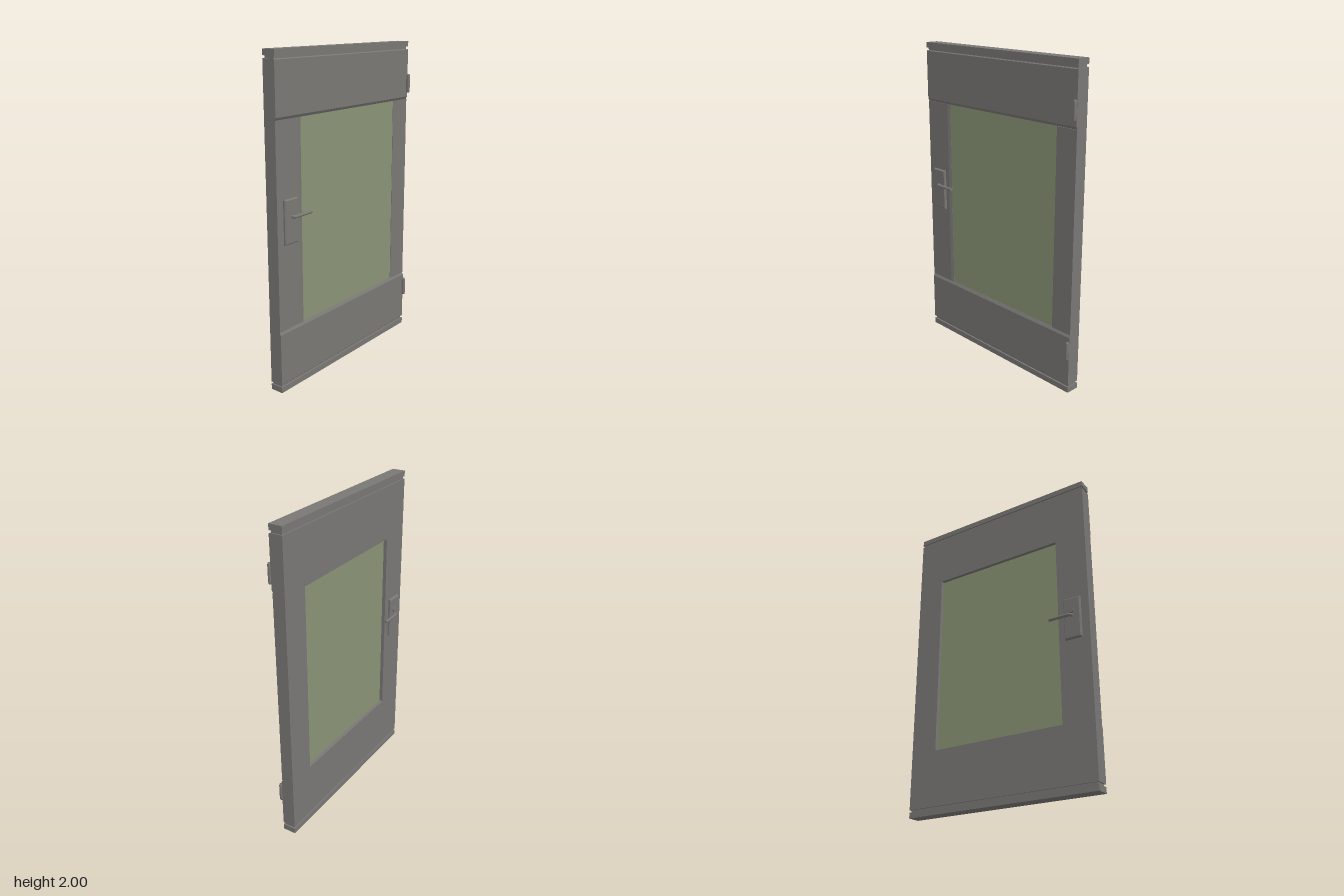
import * as THREE from 'three';

export function createModel() {
  const model = new THREE.Group();
  model.name = 'door';
  const frameGrey = new THREE.MeshStandardMaterial({ color: 0x7a7875 });
  frameGrey.name = 'frame grey';
  const glassGreen = new THREE.MeshStandardMaterial({ color: 0x8a9476 });
  glassGreen.name = 'glass green';

  const X0 = -0.645, X1 = 0.64, BACK = -0.039, FRONT = 0.046;

  function add(name, geometry, material = frameGrey, parent = model) {
    const mesh = new THREE.Mesh(geometry, material);
    mesh.name = name;
    parent.add(mesh);
    return mesh;
  }
  function box(name, x0, x1, y0, y1, z0, z1, material) {
    const g = new THREE.BoxGeometry(x1 - x0, y1 - y0, z1 - z0);
    g.translate((x0 + x1) / 2, (y0 + y1) / 2, (z0 + z1) / 2);
    return add(name, g, material);
  }
  const polygon = (points) => new THREE.Shape(points.map(([a, b]) => new THREE.Vector2(a, b)));

  // Horizontal bar with a (z, y) cross-section
  function rail(name, points) {
    const g = new THREE.ExtrudeGeometry(polygon(points), { depth: X1 - X0, bevelEnabled: false });
    g.rotateY(-Math.PI / 2).translate(X1, 0, 0);
    return add(name, g);
  }
  // Upright bar with an (x, z) cross-section
  function stile(name, points, y0, y1) {
    const g = new THREE.ExtrudeGeometry(polygon(points), { depth: y1 - y0, bevelEnabled: false });
    g.rotateX(Math.PI / 2).translate(0, y1, 0);
    return add(name, g);
  }

  // Back half of the leaf with the window opening
  const leaf = polygon([[X0, 0.05], [X1, 0.05], [X1, 1.95], [X0, 1.95]]);
  leaf.holes.push(polygon([[-0.44, 0.4], [-0.44, 1.61], [0.458, 1.61], [0.458, 0.4]]));
  add('backFrame', new THREE.ExtrudeGeometry(leaf, { depth: -BACK, bevelEnabled: false }).translate(0, 0, BACK));

  // Front rails with bevelled edges beside the window
  rail('topRail', [[0, 1.622], [0.036, 1.622], [FRONT, 1.638], [FRONT, 1.945], [0.041, 1.95], [0, 1.95]]);
  rail('bottomRail', [[0, 0.05], [0.041, 0.05], [FRONT, 0.055], [FRONT, 0.37], [0.036, 0.388], [0, 0.388]]);

  // Front stiles
  stile('handleStile', [[X0, 0], [-0.432, 0], [-0.432, 0.035], [-0.455, 0.041], [X0, 0.041]], 0.388, 1.622);
  stile('hingeStile', [[0.49, 0], [X1, 0], [X1, 0.041], [0.497, 0.041], [0.49, 0.036]], 0.388, 1.622);

  // Window pane, its edges set into the frame
  box('glass', -0.46, 0.5, 0.385, 1.625, -0.016, 0.034, glassGreen);

  // End caps separated from the leaf by a recessed groove
  box('topCap', X0, X1, 1.965, 2, BACK, FRONT);
  box('topGroove', X0 + 0.008, X1 - 0.008, 1.945, 1.97, BACK + 0.008, FRONT - 0.01);
  box('bottomCap', X0, X1, 0, 0.036, BACK, FRONT);
  box('bottomGroove', X0 + 0.008, X1 - 0.008, 0.03, 0.055, BACK + 0.008, FRONT - 0.01);

  // Hinges: rounded knuckle on a narrow leaf
  for (const y of [0.286, 1.726]) {
    const hinge = new THREE.Group();
    hinge.name = 'hinge';
    const r = 0.011;
    const knuckle = [[0, -0.06], [0.008, -0.06], [r, -0.05], [r, 0.05], [0.008, 0.06], [0, 0.06]];
    add('hingeKnuckle', new THREE.LatheGeometry(knuckle.map(([a, b]) => new THREE.Vector2(a, b)), 12)
      .translate(0.634, y, 0.057), frameGrey, hinge);
    add('hingeLeaf', new THREE.BoxGeometry(0.012, 0.11, 0.02).translate(0.632, y, 0.05), frameGrey, hinge);
    model.add(hinge);
  }

  // Handle sets: plate, boss and bent lever; side is +1 for front, -1 for back
  function handle(name, side, face, leverY, plateDepth) {
    const set = new THREE.Group();
    set.name = name;
    const b = 0.006;
    const plate = polygon([[-0.589, 0.914], [-0.491, 0.914], [-0.491, 1.168], [-0.589, 1.168]]);
    const g = new THREE.ExtrudeGeometry(plate, {
      depth: plateDepth - b, bevelThickness: b, bevelSize: b, bevelSegments: 1,
    });
    g.translate(0, 0, side > 0 ? face : face - plateDepth + b);
    add('handlePlate', g, frameGrey, set);

    const z = face + side * plateDepth, end = side * 0.074;
    const path = new THREE.CurvePath();
    const v = (x, d) => new THREE.Vector3(x, leverY, d);
    const bend = end - side * 0.014;
    path.add(new THREE.LineCurve3(v(-0.538, z - side * 0.01), v(-0.538, bend)));
    path.add(new THREE.QuadraticBezierCurve3(v(-0.538, bend), v(-0.538, end), v(-0.52, end)));
    path.add(new THREE.LineCurve3(v(-0.52, end), v(-0.396, end)));
    add('lever', new THREE.TubeGeometry(path, 40, 0.01, 10), frameGrey, set);
    const tip = new THREE.CylinderGeometry(0.01, 0.01, 0.004, 10);
    add('leverTip', tip.rotateZ(Math.PI / 2).translate(-0.396, leverY, end), frameGrey, set);
    model.add(set);
    return set;
  }
  handle('frontHandle', 1, 0.041, 1.07, 0.016);
  const backHandle = handle('backHandle', -1, BACK, 1.055, 0.018);
  const knob = new THREE.CylinderGeometry(0.02, 0.02, 0.014, 16);
  add('lockKnob', knob.rotateX(Math.PI / 2).translate(-0.535, 1.09, -0.06), frameGrey, backHandle);

  return model;
}
